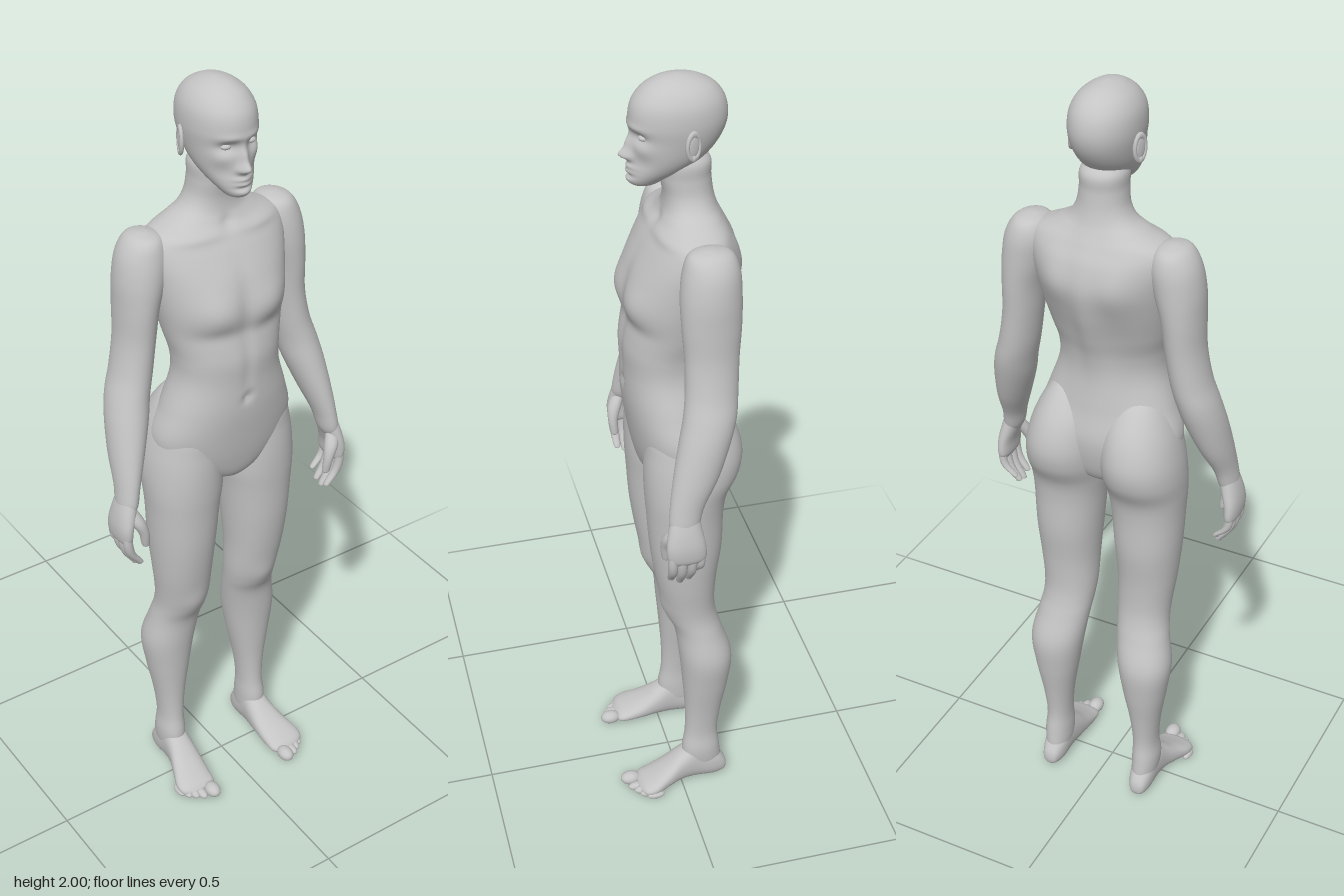
import * as THREE from 'three';

const skin = new THREE.MeshStandardMaterial({ color: 0xc4c4c4 });
skin.name = 'plain grey';

const spline = (a, b, c, d, t) =>
  b + 0.5 * t * (c - a + t * (2 * a - 5 * b + 4 * c - d + t * (3 * (b - c) + d - a)));
const power = (v, p) => Math.sign(v) * Math.abs(v) ** p;
const gauss = (d, s) => Math.exp(-(d * d) / (2 * s * s));

// Smooth skin through rows [position, xMin, xMax, depthMin, depthMax] along y or z.
// Bumps [x, y, widthX, widthY, dz, side] push the front (1) or back (-1) along z.
function loft(name, rows, { axis = 'y', s = 1, segs = 40, steps = 6, p = 1, bumps = [] } = {}) {
  const pos = [], idx = [], last = rows.length - 1;
  const put = (x, v, u) => {
    let [y, z] = axis === 'y' ? [u, v] : [v, u];
    pos.push(s * x, y, z);
  };
  const total = last * steps;
  const flip = (axis === 'y') !== (rows[last][0] < rows[0][0]) !== (s < 0);
  const tri = (a, b, c) => (flip ? idx.push(a, c, b) : idx.push(a, b, c));
  for (let k = 0; k <= total; k++) {
    const i = Math.min(Math.floor(k / steps), last - 1), t = k / steps - i;
    const at = (j) => rows[Math.max(0, Math.min(last, j))];
    const [u, x0, x1, v0, v1] = rows[0].map((_, n) =>
      spline(at(i - 1)[n], at(i)[n], at(i + 1)[n], at(i + 2)[n], t));
    for (let j = 0; j < segs; j++) {
      const a = (j / segs) * Math.PI * 2, sn = Math.sin(a);
      const x = (x0 + x1) / 2 + ((x1 - x0) / 2) * power(Math.cos(a), p);
      let v = (v0 + v1) / 2 + ((v1 - v0) / 2) * power(sn, p);
      for (const [bx, by, wx, wy, dz, side] of bumps) {
        if (sn * side <= 0) continue;
        const fx = gauss(x - bx, wx) + (bx ? gauss(x + bx, wx) : 0);
        v += dz * fx * gauss(u - by, wy) * Math.min(1, Math.abs(sn) * 1.5);
      }
      put(x, v, u);
      if (k < total) {
        const b = k * segs + ((j + 1) % segs), c = k * segs + j;
        tri(c, b, c + segs);
        tri(b, b + segs, c + segs);
      }
    }
  }
  // Close both ends
  const centre = (r) => put((r[1] + r[2]) / 2, (r[3] + r[4]) / 2, r[0]);
  const c0 = pos.length / 3;
  centre(rows[0]);
  centre(rows[last]);
  for (let j = 0; j < segs; j++) {
    const n = (j + 1) % segs, top = total * segs;
    tri(n, j, c0);
    tri(top + j, top + n, c0 + 1);
  }
  const g = new THREE.BufferGeometry();
  g.setAttribute('position', new THREE.Float32BufferAttribute(pos, 3));
  g.setIndex(idx);
  g.computeVertexNormals();
  const mesh = new THREE.Mesh(g, skin);
  mesh.name = name;
  return mesh;
}

// Symmetric rows given as [y, halfWidth, back, front]
const even = (rows) => rows.map(([y, w, b, f]) => [y, -w, w, b, f]);

function ball(name, x, y, z, rx, ry, rz) {
  const g = new THREE.SphereGeometry(1, 20, 14);
  g.scale(rx, ry, rz);
  const mesh = new THREE.Mesh(g, skin);
  mesh.position.set(x, y, z);
  mesh.name = name;
  return mesh;
}

// Rounded finger through points [x, y, z] with a radius at each
function finger(name, pts, s) {
  const row = ([x, y, z, r]) => [y, x - r, x + r, z - r, z + r];
  const [x, y, z, r] = pts[pts.length - 1];
  const rows = pts.map(row);
  rows.push(row([x - 0.001, y - r * 0.7, z, r * 0.7]), row([x - 0.001, y - r, z, r * 0.1]));
  return loft(name, rows, { s, segs: 14, steps: 4 });
}

function makeLeg(s) {
  const leg = new THREE.Group();
  leg.name = s > 0 ? 'leftLeg' : 'rightLeg';
  // Buttock, thigh, knee, calf and ankle
  leg.add(loft('legShape', [
    [1.235, 0.075, 0.095, -0.06, -0.04], [1.215, 0.04, 0.14, -0.09, 0.03],
    [1.15, 0.01, 0.178, -0.135, 0.075], [1.08, 0.003, 0.198, -0.156, 0.083],
    [1.02, 0.003, 0.205, -0.149, 0.086], [0.96, 0.008, 0.204, -0.12, 0.085],
    [0.9, 0.017, 0.2, -0.11, 0.081], [0.8, 0.026, 0.195, -0.107, 0.074],
    [0.7, 0.034, 0.186, -0.095, 0.06], [0.62, 0.036, 0.177, -0.092, 0.043],
    [0.57, 0.04, 0.176, -0.098, 0.028], [0.52, 0.046, 0.184, -0.112, 0.01],
    [0.44, 0.057, 0.198, -0.135, 0.001], [0.35, 0.072, 0.187, -0.128, -0.007],
    [0.25, 0.09, 0.17, -0.111, -0.014], [0.17, 0.098, 0.163, -0.102, -0.014],
    [0.11, 0.097, 0.168, -0.108, -0.006], [0.06, 0.1, 0.163, -0.112, -0.01],
    [0.03, 0.115, 0.15, -0.1, -0.03],
  ], { s, p: 0.95, segs: 48, bumps: [[0.106, 0.6, 0.025, 0.03, 0.007, 1]] }));
  // Foot from heel to ball
  leg.add(loft('foot', [
    [-0.128, 0.127, 0.138, 0.022, 0.034], [-0.121, 0.113, 0.153, 0.008, 0.056],
    [-0.09, 0.101, 0.163, 0, 0.095], [-0.04, 0.098, 0.166, 0.003, 0.122],
    [0, 0.095, 0.172, 0.005, 0.1], [0.04, 0.094, 0.186, 0.003, 0.07],
    [0.08, 0.096, 0.2, 0, 0.047], [0.108, 0.1, 0.195, 0.002, 0.034],
    [0.122, 0.115, 0.17, 0.008, 0.022],
  ], { axis: 'z', s, p: 0.88 }));
  // Toes
  [[0.122, 0.137, 0.02], [0.15, 0.125, 0.0125], [0.167, 0.112, 0.012],
    [0.182, 0.099, 0.0115], [0.194, 0.083, 0.011]].forEach(([x, z, r]) =>
    leg.add(ball('toe', s * x, r * 0.9, z, r, r * 0.9, r > 0.015 ? 0.027 : 0.024)));
  return leg;
}

function makeArm(s) {
  const arm = new THREE.Group();
  arm.name = s > 0 ? 'leftArm' : 'rightArm';
  // Shoulder to wrist
  arm.add(loft('armShape', [
    [1.66, 0.17, 0.19, -0.06, -0.04], [1.648, 0.14, 0.22, -0.1, -0.002],
    [1.61, 0.125, 0.243, -0.117, 0.014], [1.55, 0.135, 0.254, -0.12, 0.022],
    [1.48, 0.155, 0.256, -0.118, 0.021], [1.4, 0.166, 0.259, -0.112, 0.016],
    [1.32, 0.178, 0.274, -0.107, 0.018], [1.26, 0.192, 0.293, -0.1, 0.026],
    [1.2, 0.207, 0.306, -0.083, 0.04], [1.12, 0.236, 0.315, -0.052, 0.058],
    [1.05, 0.263, 0.319, -0.014, 0.07], [1.0, 0.276, 0.323, 0.002, 0.073],
    [0.97, 0.295, 0.315, 0.02, 0.055],
  ], { s }));
  // Palm
  arm.add(loft('palm', [
    [1.035, 0.275, 0.315, 0.005, 0.065], [0.99, 0.284, 0.329, -0.004, 0.078],
    [0.95, 0.296, 0.336, -0.011, 0.084], [0.915, 0.3, 0.334, -0.012, 0.08],
    [0.9, 0.308, 0.325, 0, 0.065],
  ], { s, p: 0.9 }));
  // Fingers curling inward, then the thumb
  [[0.069, 0.84, 0.0115], [0.046, 0.829, 0.012], [0.022, 0.835, 0.0115], [0.001, 0.857, 0.01]]
    .forEach(([z, tip, r]) => arm.add(finger('finger', [
      [0.318, 0.935, z, r], [0.317, 0.9, z, r * 1.05], [0.308, (0.9 + tip) / 2, z * 0.97, r],
      [0.286, tip, z * 0.92 + 0.002, r * 0.8],
    ], s)));
  arm.add(finger('thumb', [
    [0.303, 1.0, 0.052, 0.014], [0.29, 0.965, 0.069, 0.018],
    [0.277, 0.93, 0.077, 0.013], [0.272, 0.895, 0.075, 0.0105],
  ], s));
  return arm;
}

function makeHead() {
  const head = new THREE.Group();
  head.name = 'head';
  // Skull and face
  head.add(loft('skull', even([
    [1.746, 0.008, 0.045, 0.065], [1.75, 0.024, 0.025, 0.084], [1.765, 0.038, 0, 0.092],
    [1.79, 0.055, -0.05, 0.09], [1.82, 0.068, -0.092, 0.087], [1.86, 0.077, -0.122, 0.086],
    [1.9, 0.082, -0.134, 0.09], [1.94, 0.078, -0.128, 0.083], [1.97, 0.062, -0.107, 0.061],
    [1.989, 0.038, -0.074, 0.032], [1.997, 0.018, -0.045, 0.008], [2, 0.003, -0.023, -0.017],
  ]), {
    segs: 128, steps: 9, p: 0.96, bumps: [
      [0, 1.822, 0.009, 0.009, 0.021, 1], [0, 1.845, 0.008, 0.018, 0.013, 1], // nose
      [0.012, 1.818, 0.005, 0.005, 0.007, 1], // nostrils
      [0.032, 1.871, 0.015, 0.01, -0.012, 1], [0.03, 1.892, 0.018, 0.006, 0.004, 1], // eyes, brows
      [0, 1.795, 0.015, 0.004, 0.007, 1], [0, 1.783, 0.013, 0.004, 0.007, 1], // lips
      [0, 1.774, 0.015, 0.004, -0.004, 1], [0, 1.762, 0.015, 0.007, 0.005, 1], // chin
      [0.052, 1.845, 0.014, 0.012, 0.005, 1], [0.042, 1.81, 0.014, 0.014, -0.004, 1], // cheeks
    ],
  }));
  for (const s of [1, -1]) {
    head.add(ball('eye', s * 0.032, 1.871, 0.064, 0.013, 0.0075, 0.011));
    // Ear with a raised rim
    const ear = new THREE.Group();
    ear.name = 'ear';
    const rim = new THREE.Mesh(new THREE.TorusGeometry(0.018, 0.005, 10, 28), skin);
    rim.name = 'earRim';
    rim.scale.set(0.9, 1.6, 1);
    ear.add(rim, ball('earBowl', 0, 0, 0, 0.015, 0.028, 0.005));
    ear.add(ball('earLobe', 0, -0.028, 0, 0.009, 0.009, 0.006));
    ear.position.set(s * 0.085, 1.862, -0.036);
    ear.rotation.set(0, s * (Math.PI / 2 + 0.35), 0);
    head.add(ear);
  }
  return head;
}

export function createModel() {
  const model = new THREE.Group();
  model.name = 'standingFigure';
  // Pelvis, waist, chest, shoulders and neck
  model.add(loft('torso', even([
    [0.965, 0.008, -0.03, 0.03], [0.975, 0.03, -0.06, 0.055], [1.0, 0.1, -0.095, 0.076],
    [1.05, 0.17, -0.115, 0.09], [1.12, 0.188, -0.122, 0.102], [1.2, 0.164, -0.104, 0.112],
    [1.28, 0.138, -0.09, 0.114], [1.34, 0.137, -0.094, 0.116], [1.4, 0.15, -0.112, 0.108],
    [1.47, 0.164, -0.135, 0.108], [1.54, 0.175, -0.15, 0.094], [1.6, 0.183, -0.145, 0.065],
    [1.64, 0.172, -0.13, 0.04], [1.668, 0.118, -0.117, 0.023], [1.69, 0.081, -0.108, 0.014],
    [1.72, 0.062, -0.101, 0.012], [1.76, 0.056, -0.097, 0.018], [1.8, 0.054, -0.095, 0.02],
    [1.83, 0.03, -0.06, 0],
  ]), {
    segs: 96, steps: 8, p: 0.92, bumps: [
      [0.075, 1.475, 0.04, 0.035, 0.014, 1], [0.07, 1.415, 0.045, 0.015, -0.005, 1], // chest
      [0, 1.48, 0.014, 0.06, -0.006, 1], [0, 1.32, 0.01, 0.06, -0.004, 1], // midline
      [0, 1.235, 0.008, 0.008, -0.009, 1], // navel
      [0.085, 1.643, 0.045, 0.009, 0.006, 1], [0, 1.66, 0.012, 0.012, -0.007, 1], // collar bones
      [0, 1.42, 0.022, 0.15, -0.016, -1], [0.075, 1.55, 0.035, 0.05, -0.014, -1], // spine, blades
      [0.04, 1.27, 0.025, 0.07, -0.006, -1], // lower back
    ],
  }));
  model.add(makeHead());
  for (const s of [1, -1]) model.add(makeArm(s), makeLeg(s));
  return model;
}
